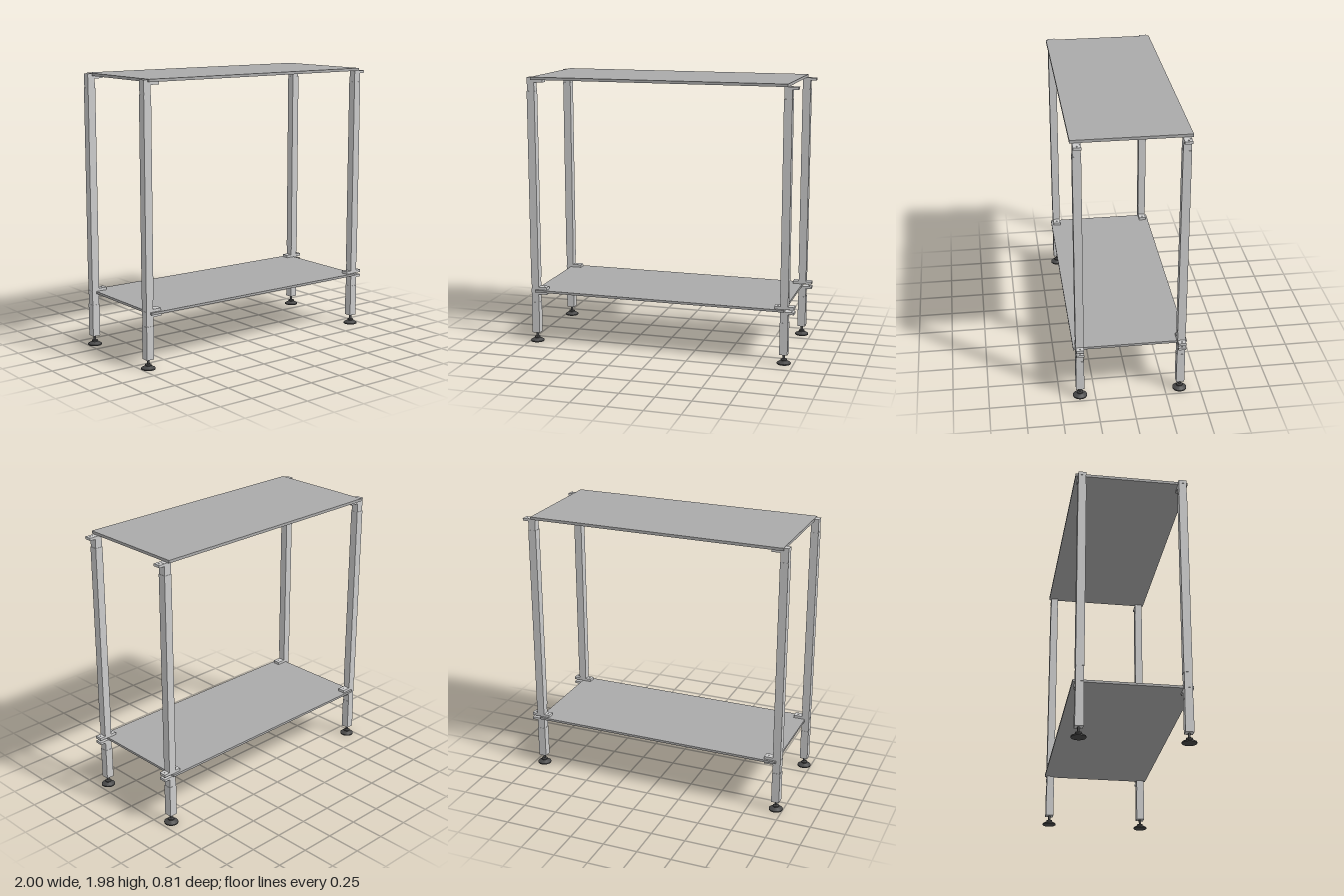
import * as THREE from 'three';

const metal = new THREE.MeshStandardMaterial({ color: 0xcccccc });
const board = new THREE.MeshStandardMaterial({ color: 0xaaaaaa });
const rubber = new THREE.MeshStandardMaterial({ color: 0x484848, flatShading: true });

// Box given by its min and max along each axis
function box(name, [x0, x1], [y0, y1], [z0, z1], material = metal) {
  const mesh = new THREE.Mesh(new THREE.BoxGeometry(x1 - x0, y1 - y0, z1 - z0), material);
  mesh.position.set((x0 + x1) / 2, (y0 + y1) / 2, (z0 + z1) / 2);
  mesh.name = name;
  return mesh;
}

// Flat bracket plate reaching along x, with a screw hole near its free end
function plate(name, x0, x1, y0, y1, holeX) {
  const shape = new THREE.Shape();
  const w = 0.027;
  shape.moveTo(x0, -w).lineTo(x1, -w).lineTo(x1, w).lineTo(x0, w).closePath();
  const hole = new THREE.Path();
  hole.absarc(holeX, 0, 0.005, 0, Math.PI * 2, true);
  shape.holes.push(hole);
  const geo = new THREE.ExtrudeGeometry(shape, { depth: y1 - y0, bevelEnabled: false, curveSegments: 8 });
  geo.rotateX(-Math.PI / 2);
  const mesh = new THREE.Mesh(geo, metal);
  mesh.position.y = y0;
  mesh.name = name;
  return mesh;
}

// Levelling foot: threaded stem, nut and conical pad
function foot() {
  const profile = [[0, 0], [0.05, 0], [0.05, 0.008], [0.022, 0.025], [0.022, 0.034],
    [0.009, 0.038], [0.009, 0.075], [0, 0.075]].map(([r, y]) => new THREE.Vector2(r, y));
  const mesh = new THREE.Mesh(new THREE.LatheGeometry(profile, 24), rubber);
  mesh.name = 'foot';
  return mesh;
}

// One leg in two tube sections, clamping the shelves between bracket plates
function leg(side) {
  const g = new THREE.Group();
  g.name = side > 0 ? 'leftLeg' : 'rightLeg';
  const h = 0.029, s = 0.027;
  g.add(foot());
  g.add(box('lowerPost', [-h, h], [0.07, 0.305], [-h, h]));
  g.add(box('upperPost', [-h, h], [0.49, 1.88], [-h, h]));
  // bracket sleeves at the tube ends
  for (const [y0, y1] of [[0.305, 0.387], [0.404, 0.49], [1.88, 1.964]])
    g.add(box('bracketSleeve', [-s, s], [y0, y1], [-s, s]));
  // plates: inward on the right side, outward on the left side
  const [a, b, hole] = side > 0 ? [0.02, 0.07, 0.05] : [0.02, 0.092, 0.065];
  for (const [y0, y1] of [[0.369, 0.387], [0.404, 0.424], [1.945, 1.963]])
    g.add(plate('bracketPlate', a, b, y0, y1, hole));
  if (side > 0) {
    // inner plate holding the lower shelf down
    g.add(plate('innerPlate', -0.07, -0.02, 0.404, 0.424, -0.05));
  } else {
    // upstands closing the end of each shelf
    g.add(box('shelfStop', [-h, 0.005], [0.38, 0.41], [-s, s]));
    g.add(box('shelfStop', [-h, 0.005], [1.955, 1.98], [-s, s]));
  }
  return g;
}

export function createModel() {
  const model = new THREE.Group();
  model.name = 'shelfRack';
  model.add(box('topShelf', [-0.945, 0.93], [1.964, 1.984], [-0.4, 0.4], board));
  model.add(box('lowerShelf', [-0.945, 0.93], [0.387, 0.404], [-0.4, 0.4], board));
  for (const side of [-1, 1]) {
    for (const z of [-0.357, 0.357]) {
      const l = leg(side);
      l.position.set(side > 0 ? 0.93 : -0.95, 0, z);
      model.add(l);
    }
  }
  return model;
}
